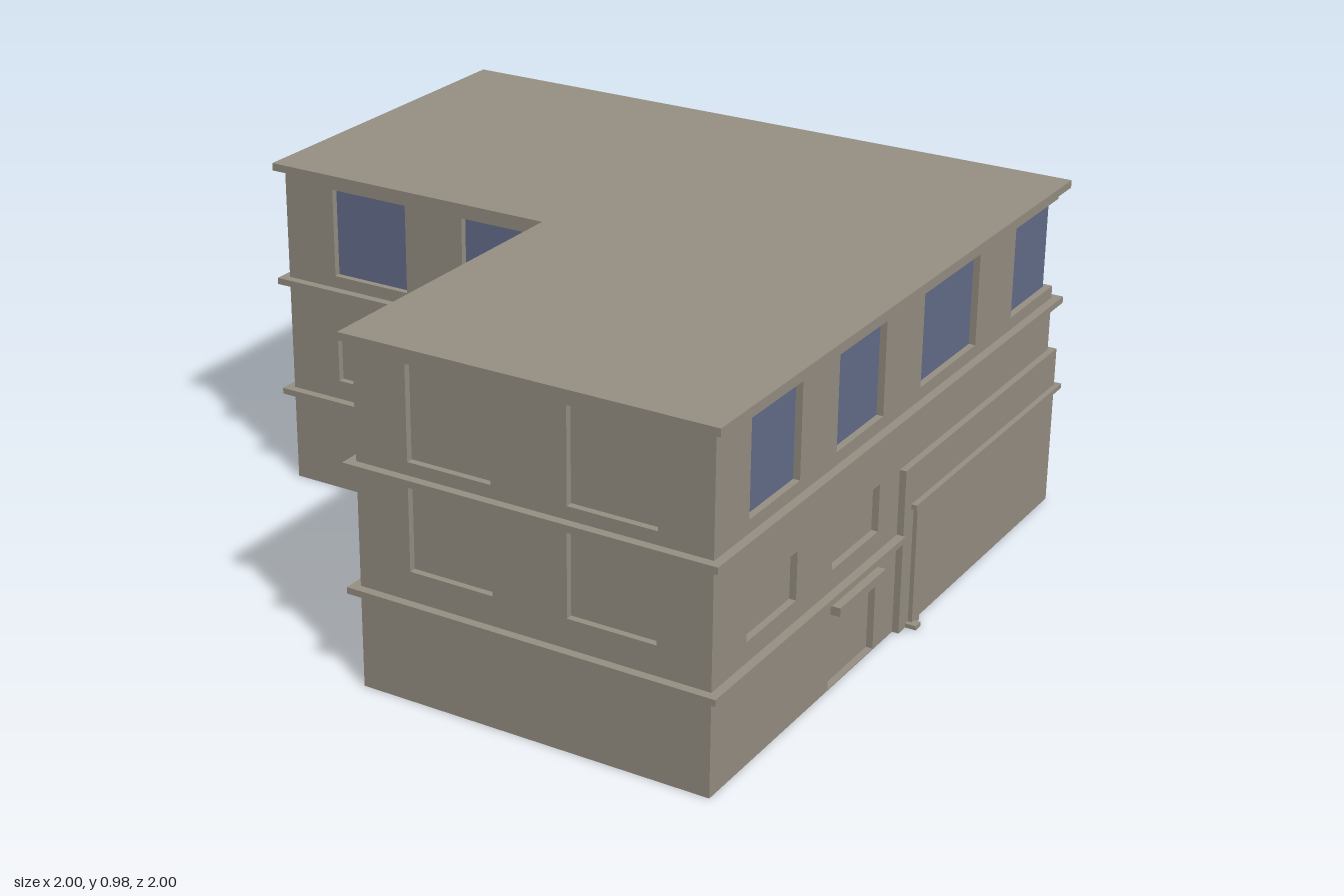
import * as THREE from 'three';

const T = 0.02; // wall thickness and depth of the recesses

export function createModel() {
  const wallMat = new THREE.MeshStandardMaterial({ color: 0x979084, side: THREE.DoubleSide });
  wallMat.name = 'stone';
  const glassMat = new THREE.MeshStandardMaterial({ color: 0x656e8c, side: THREE.DoubleSide });
  glassMat.name = 'blue glass';

  const model = new THREE.Group();
  model.name = 'cornerBuilding';

  const toShape = (pts) => new THREE.Shape(pts.map(([x, y]) => new THREE.Vector2(x, y)));
  const extrude = (shape, depth) => new THREE.ExtrudeGeometry(shape, { depth, bevelEnabled: false });
  const add = (parent, name, geo, mat = wallMat) => {
    const mesh = new THREE.Mesh(geo, mat);
    mesh.name = name;
    parent.add(mesh);
    return mesh;
  };

  // One facade: u runs along the wall, flip mirrors it for the twin wing
  function facade(name, angle, dist, flip, u0, u1, openings, cornerShop = false) {
    const g = new THREE.Group();
    g.name = name;
    g.rotation.y = angle;
    model.add(g);
    const box = (part, a, b, y0, y1, z0, z1, mat) => {
      const geo = new THREE.BoxGeometry(b - a, y1 - y0, z1 - z0);
      geo.translate(flip * (a + b) / 2, (y0 + y1) / 2, (z0 + z1) / 2);
      add(g, part, geo, mat);
    };

    // wall sheet, notched where the corner window wraps around
    const pts = [[u0, 0], [u1, 0]];
    if (cornerShop) pts.push([u1, 0.67], [0.665, 0.67], [0.665, 0.93], [u1, 0.93]);
    pts.push([u1, 0.97], [u0, 0.97]);
    const shape = toShape(pts.map(([u, y]) => [flip * u, y]));
    for (const [, a, b, y0, y1] of openings) {
      shape.holes.push(toShape([[a, y0], [a, y1], [b, y1], [b, y0]].map(([u, y]) => [flip * u, y])));
    }
    const wall = extrude(shape, T);
    wall.translate(0, 0, dist - T);
    add(g, 'wall', wall);

    // recessed panes, blind panels and doors
    for (const [kind, a, b, y0, y1] of openings) {
      box(kind, a, b, y0, y1, dist - T - 0.004, dist - T + 0.001, kind === 'window' ? glassMat : wallMat);
      if (kind === 'door') box('doorCanopy', a, b, 0.22, 0.245, dist - 0.005, dist + 0.028);
    }

    if (cornerShop) {
      box('cornerWindow', 0.665, u1 - T, 0.67, 0.93, dist - T - 0.004, dist - T, glassMat);
      box('shopFront', 0, 0.969, 0, 0.475, dist, 0.969);
      box('shopPanel', 0.1, 0.61, 0.015, 0.35, 0.969, 0.977);
      box('shopCanopy', 0.04, 0.985, 0.35, 0.364, 0.96, 0.985);
      box('shopPost', 0.055, 0.1, 0, 0.35, 0.96, 0.981);
      box('postFoot', 0.04, 0.07, 0, 0.012, 0.96, 1.0);
    }
  }

  // Openings: kind, start, end, bottom, top
  const bays = (s) => [[0.115, 0.37], [0.56, 0.81]].map(([a, b]) => (s > 0 ? [a, b] : [-b, -a]));
  const streetBays = (s) => [
    ...bays(s).map(([a, b]) => ['window', a, b, 0.67, 0.93]),
    ...bays(s).map(([a, b]) => ['blindPanel', a, b, 0.345, 0.48]),
    ['door', ...bays(s)[0], 0.003, 0.22],
  ];
  const endBays = [[0.09, 0.335], [0.55, 0.8]].flatMap(([a, b]) => [
    ['blindWindow', a, b, 0.67, 0.93],
    ['blindWindow', a, b, 0.37, 0.605],
  ]);
  const outer = [...streetBays(-1), ['window', 0.1, 0.435, 0.67, 0.93]];
  const Q = Math.PI / 2;

  facade('leftStreetSide', Q, 0.95, 1, -0.975, 0.95, outer, true);
  facade('backStreetSide', 2 * Q, 0.95, -1, -0.975, 0.95, outer, true);
  facade('frontEnd', 0, 0.975, 1, -0.065, 0.95, endBays);
  facade('rightEnd', -Q, 0.975, -1, -0.065, 0.95, endBays);
  facade('courtyardSide', -Q, 0.065, 1, 0.045, 0.975, streetBays(1));
  facade('courtyardFront', 0, 0.065, -1, 0.045, 0.975, streetBays(1));

  // L-shaped plan outline grown by o; the second coordinate is -z
  const outline = (o, cut) => [
    [-0.975 - o, 0.95 + o],
    [-0.975 - o, -0.065 - o],
    [-0.065 - o, -0.065 - o],
    [-0.065 - o, -0.975 - o],
    [0.95 + o, -0.975 - o],
    ...(cut
      ? [[0.95 + o, 0], [0.95, 0], [0.95, 0.95], [0, 0.95], [0, 0.95 + o]]
      : [[0.95 + o, 0.95 + o]]),
  ];
  const slab = (name, y0, y1, { hollow = true, cut = false } = {}) => {
    const shape = toShape(outline(0.025, cut));
    if (hollow) shape.holes.push(toShape(outline(-T).reverse()));
    const geo = extrude(shape, y1 - y0);
    geo.rotateX(-Q);
    geo.translate(0, y0, 0);
    add(model, name, geo);
  };
  slab('lowerCornice', 0.27, 0.288, { cut: true });
  slab('middleCornice', 0.615, 0.634);
  slab('roof', 0.96, 0.982, { hollow: false });

  return model;
}
